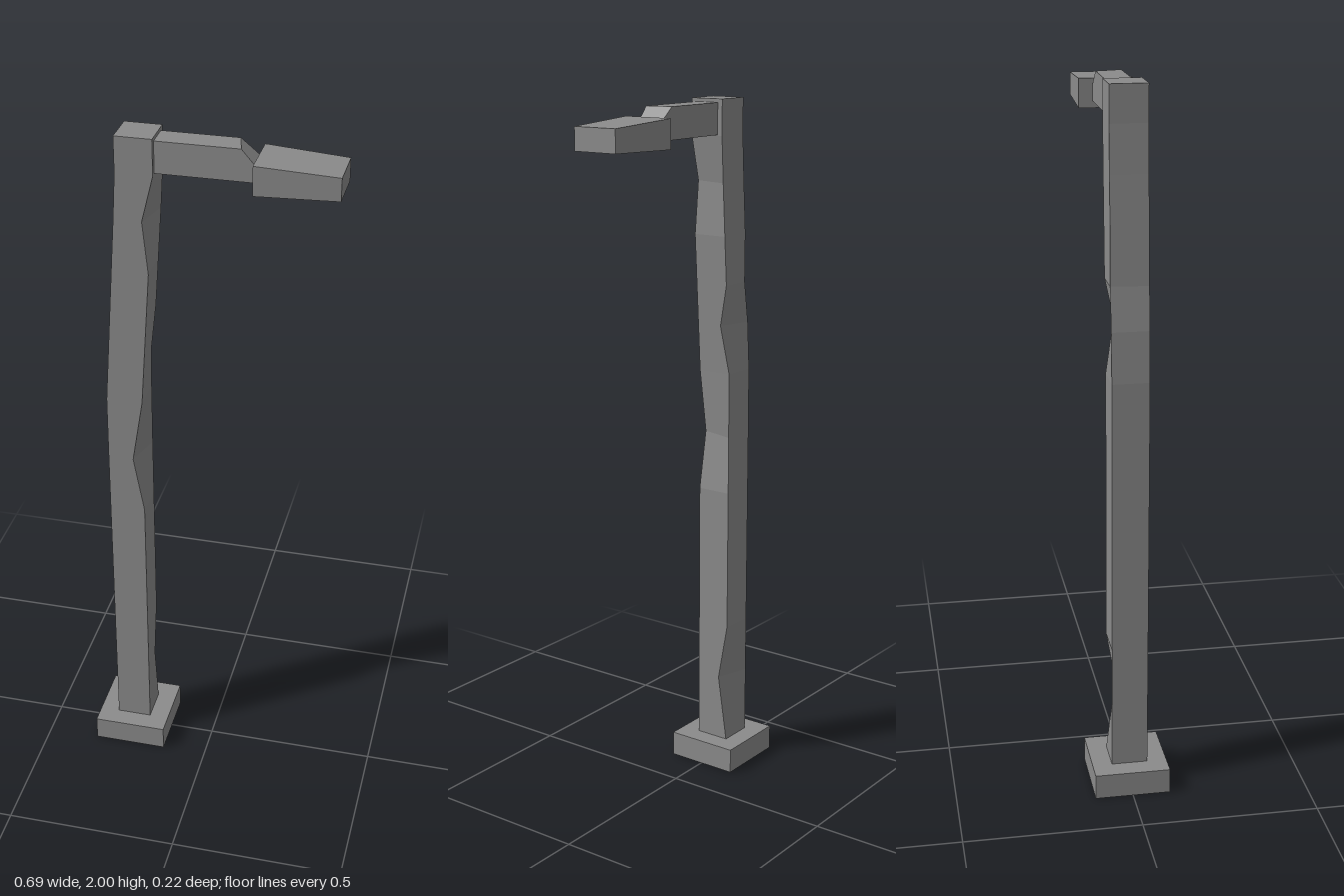
import * as THREE from 'three';

const grey = new THREE.MeshStandardMaterial({ color: 0x8b8b8b });
const yellow = new THREE.MeshStandardMaterial({ color: 0xffee00 });

// Skin a stack of four-cornered rings and close both ends; each quad is shaded
// as one facet. Corners run counter-clockwise as seen from the end of the stack.
function loft(name, rings, material = grey) {
  const pos = [], normals = [];
  const quad = (a, b, c, d) => {
    const [va, vb, vc, vd] = [a, b, c, d].map((p) => new THREE.Vector3(...p));
    const n = vc.sub(va).cross(vd.sub(vb)).normalize();
    for (const p of [a, b, c, a, c, d]) {
      pos.push(...p);
      normals.push(n.x, n.y, n.z);
    }
  };
  for (let k = 0; k < rings.length - 1; k++) {
    for (let i = 0; i < 4; i++) {
      const j = (i + 1) % 4;
      quad(rings[k][i], rings[k][j], rings[k + 1][j], rings[k + 1][i]);
    }
  }
  quad(...[...rings[0]].reverse());
  quad(...rings[rings.length - 1]);
  const geometry = new THREE.BufferGeometry();
  geometry.setAttribute('position', new THREE.Float32BufferAttribute(pos, 3));
  geometry.setAttribute('normal', new THREE.Float32BufferAttribute(normals, 3));
  const mesh = new THREE.Mesh(geometry, material);
  mesh.name = name;
  return mesh;
}

// Post: square section that leans above y = 1.2, with chipped corners
function post() {
  const chips = [ // height, corner index, shift in x, shift in z
    [0.27, 1, 0, 0.03],
    [1.03, 0, -0.03, 0],
    [1.36, 1, 0, 0.025],
    [1.48, 2, 0.01, 0],
    [1.77, 0, -0.025, 0],
  ];
  const heights = [0.07, 0.27, 0.44, 0.86, 1.03, 1.22, 1.36, 1.48, 1.62, 1.77, 1.9, 2];
  const rings = heights.map((y) => {
    const lean = THREE.MathUtils.clamp((y - 1.21) / 0.67, 0, 1);
    const x = -0.239 + 0.045 * lean;
    const h = 0.051;
    const ring = [
      [x + h, y, 0.051], [x + h, y, -0.052], [x - h, y, -0.052], [x - h, y, 0.051],
    ];
    for (const [cy, i, dx, dz] of chips) {
      if (cy === y) {
        ring[i][0] += dx;
        ring[i][2] += dz;
      }
    }
    return ring;
  });
  return loft('post', rings);
}

// Arm: bar along x whose upper end is cut by a skewed bevel
function arm() {
  const ring = (x, top, skew = 0) => [
    [x, 1.902, 0.036], [x, 1.902, -0.037], [x - skew, top, -0.037], [x, top, 0.036],
  ];
  return loft('arm', [ring(-0.16, 1.99), ring(0.084, 1.99, 0.017), ring(0.125, 1.943)]);
}

// Lamp head outline at a given inset; tapers towards its far end
function headRing(yNear, yFar, inset) {
  const x0 = 0.122 + inset, x1 = 0.346 - inset;
  const z0 = 0.075 - inset, z1 = 0.067 - inset;
  return [[x1, yFar, z1], [x1, yFar, -z1], [x0, yNear, -z0], [x0, yNear, z0]];
}

export function createModel() {
  const group = new THREE.Group();
  group.name = 'streetLamp';

  // Base block
  const base = new THREE.Mesh(new THREE.BoxGeometry(0.216, 0.073, 0.215), grey);
  base.name = 'base';
  base.position.set(-0.239, 0.0365, -0.0005);

  // Hollow-bottomed lamp head with a coloured panel in the recess
  const head = loft('lampHead', [
    headRing(1.898, 1.901, 0.016),
    headRing(1.883, 1.888, 0.016),
    headRing(1.883, 1.888, 0),
    headRing(1.964, 1.951, 0),
  ]);
  const panel = loft('lightPanel', [
    headRing(1.893, 1.896, 0.02),
    headRing(1.899, 1.902, 0.02),
  ], yellow);

  group.add(base, post(), arm(), head, panel);
  return group;
}
